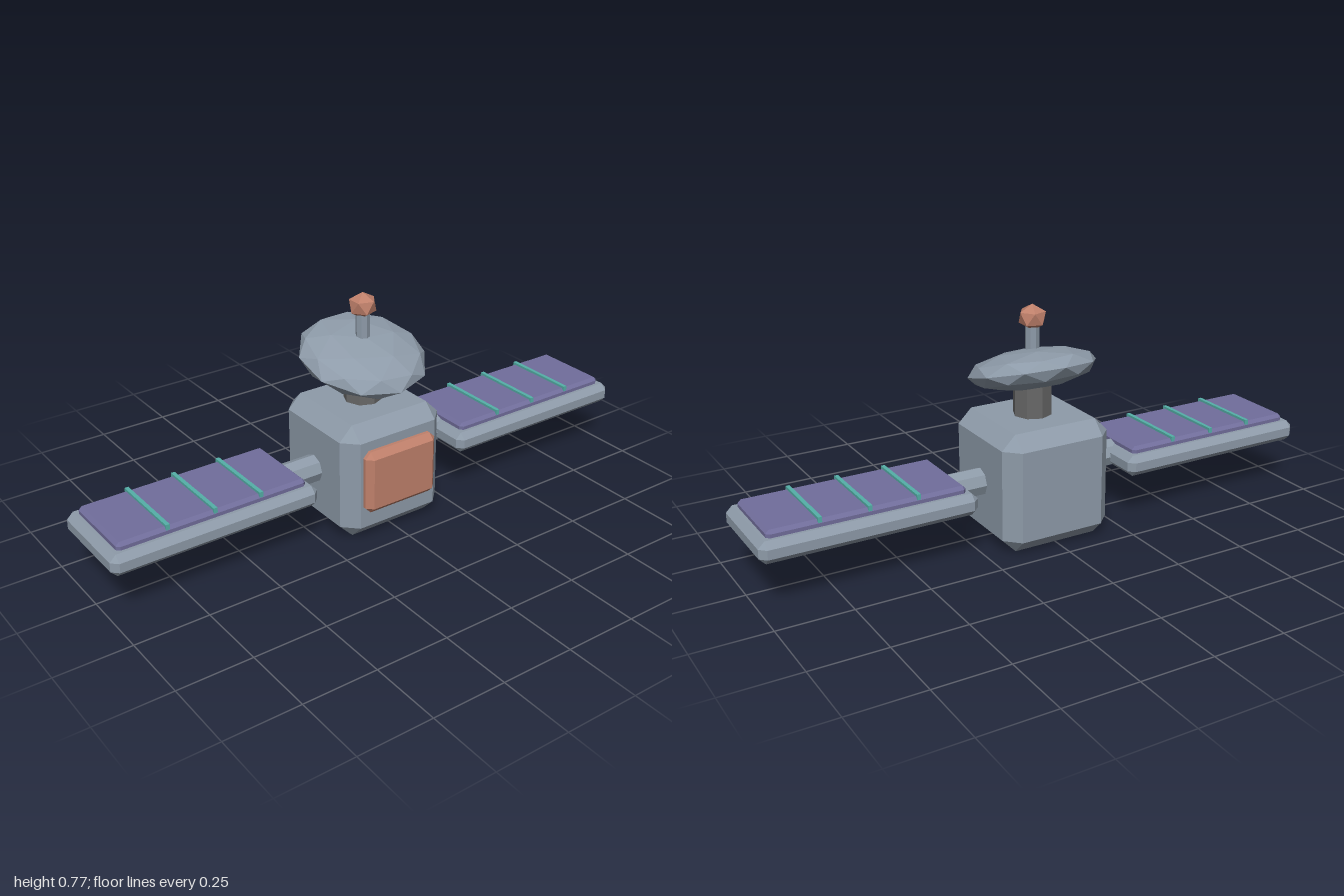
import * as THREE from 'three';
import { ConvexGeometry } from 'three/addons/geometries/ConvexGeometry.js';

const Z = -0.01; // centre line of the body

function makeMaterial(name, color) {
  const m = new THREE.MeshStandardMaterial({ color, flatShading: true });
  m.name = name;
  return m;
}

// Box with all twelve edges cut at 45 degrees
function chamferBox(w, h, d, c) {
  const pts = [];
  for (const x of [-w / 2, w / 2]) for (const y of [-h / 2, h / 2]) for (const z of [-d / 2, d / 2]) {
    const sx = Math.sign(x) * c, sy = Math.sign(y) * c, sz = Math.sign(z) * c;
    pts.push(
      new THREE.Vector3(x, y - sy, z - sz),
      new THREE.Vector3(x - sx, y, z - sz),
      new THREE.Vector3(x - sx, y - sy, z));
  }
  return new ConvexGeometry(pts);
}

// Faceted ball with a corner pointing straight up
function poleBall(r, ry, detail) {
  const g = new THREE.IcosahedronGeometry(1, detail);
  g.rotateX(-Math.atan((1 + Math.sqrt(5)) / 2));
  g.rotateY(Math.PI / 2);
  g.scale(r, ry, r);
  g.computeVertexNormals();
  return g;
}

export function createModel() {
  const model = new THREE.Group();
  model.name = 'satellite';
  const hull = makeMaterial('hullGrey', 0x8e9ba9);
  const dark = makeMaterial('darkGrey', 0x686868);
  const copper = makeMaterial('copper', 0xbf806b);
  const violet = makeMaterial('cellViolet', 0x716e9c);
  const teal = makeMaterial('teal', 0x55b0a8);

  const add = (name, geometry, material, x, y, z, parent = model) => {
    const mesh = new THREE.Mesh(geometry, material);
    mesh.name = name;
    mesh.position.set(x, y, z);
    parent.add(mesh);
    return mesh;
  };

  // Body and front hatch
  add('body', chamferBox(0.394, 0.405, 0.39, 0.048), hull, 0, 0.2025, Z);
  add('frontHatch', chamferBox(0.278, 0.22, 0.08, 0.021), copper, 0, 0.215, 0.178);

  // Antenna: neck, tilted dish, mast and tip
  add('neck', new THREE.CylinderGeometry(0.065, 0.065, 0.14, 8), dark, 0, 0.46, Z);
  const dish = add('dish', poleBall(0.215, 0.068, 1), hull, 0, 0.559, Z);
  dish.rotation.x = 0.278;
  add('mast', new THREE.CylinderGeometry(0.0235, 0.0235, 0.16, 8), hull, 0, 0.635, Z);
  add('antennaTip', poleBall(0.049, 0.044, 0), copper, 0, 0.731, Z);

  // Solar wings, one on each side
  const rodGeo = new THREE.CylinderGeometry(0.047, 0.047, 0.42, 8).rotateZ(Math.PI / 2);
  const frameGeo = chamferBox(0.715, 0.073, 0.335, 0.021);
  const cellGeo = chamferBox(0.652, 0.04, 0.272, 0.011);
  const stripGeo = new THREE.BoxGeometry(0.013, 0.018, 0.27);
  for (const side of [1, -1]) {
    const wing = new THREE.Group();
    wing.name = side > 0 ? 'leftWing' : 'rightWing';
    add('arm', rodGeo, hull, side * 0.35, 0.204, Z, wing);
    add('wingFrame', frameGeo, hull, side * 0.6425, 0.2035, Z, wing);
    add('solarCells', cellGeo, violet, side * 0.642, 0.243, Z, wing);
    for (const i of [-1, 0, 1]) {
      add('cellDivider', stripGeo, teal, side * 0.642 + i * 0.161, 0.262, Z, wing);
    }
    model.add(wing);
  }
  return model;
}
